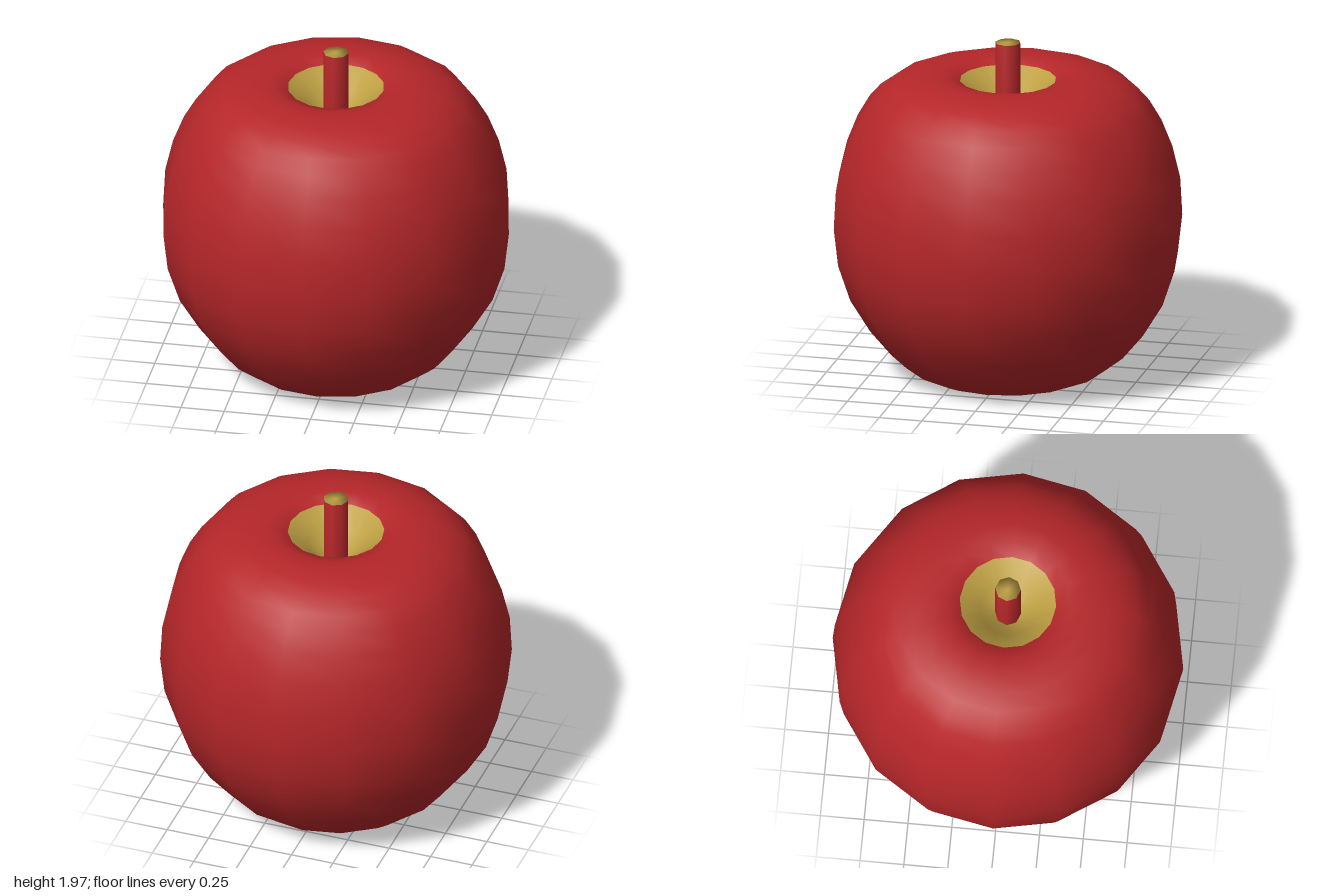
import * as THREE from 'three';

const red = new THREE.MeshStandardMaterial({ name: 'apple red', color: 0xb52629 });
const straw = new THREE.MeshStandardMaterial({ name: 'straw yellow', color: 0xbd9f43 });

// Turns one smooth profile, then splits it into named bands that share its normals.
function turned(profile, sides, bands) {
  const lathe = new THREE.LatheGeometry(profile.map(([r, y]) => new THREE.Vector2(r, y)), sides);
  const index = Array.from(lathe.index.array);
  const rows = profile.length - 1;
  return bands.map(([name, material, from, to]) => {
    const part = lathe.clone();
    part.setIndex(index.filter((_, k) => {
      const row = Math.floor(k / 6) % rows;
      return row >= from && row < to;
    }));
    const mesh = new THREE.Mesh(part.toNonIndexed(), material);
    mesh.name = name;
    return mesh;
  });
}

export function createModel() {
  const apple = new THREE.Group();
  apple.name = 'apple';

  // Body: from the hollow underneath, around the outside, into the hollow on top
  const body = [
    [0, 0.17], [0.1, 0.14], [0.205, 0.08], [0.29, 0.03], [0.38, 0.002],
    [0.47, 0.012], [0.56, 0.05], [0.67, 0.135], [0.79, 0.28], [0.905, 0.47], [0.975, 0.68],
    [1, 0.9], [0.988, 1.12], [0.943, 1.31], [0.88, 1.47], [0.81, 1.59], [0.745, 1.665],
    [0.66, 1.725], [0.565, 1.76], [0.46, 1.78], [0.36, 1.778],
    [0.275, 1.75], [0.16, 1.65], [0.07, 1.57], [0, 1.54],
  ];
  apple.add(...turned(body, 16, [
    ['bottomHollow', straw, 0, 2],
    ['skin', red, 2, 21],
    ['topHollow', straw, 21, 24],
  ]));

  // Stem: eight sides with a softly shaded cut end
  apple.add(...turned([[0.073, 1.5], [0.073, 1.97], [0, 1.972]], 8, [
    ['stem', red, 0, 1],
    ['stemTip', straw, 1, 2],
  ]));

  return apple;
}
